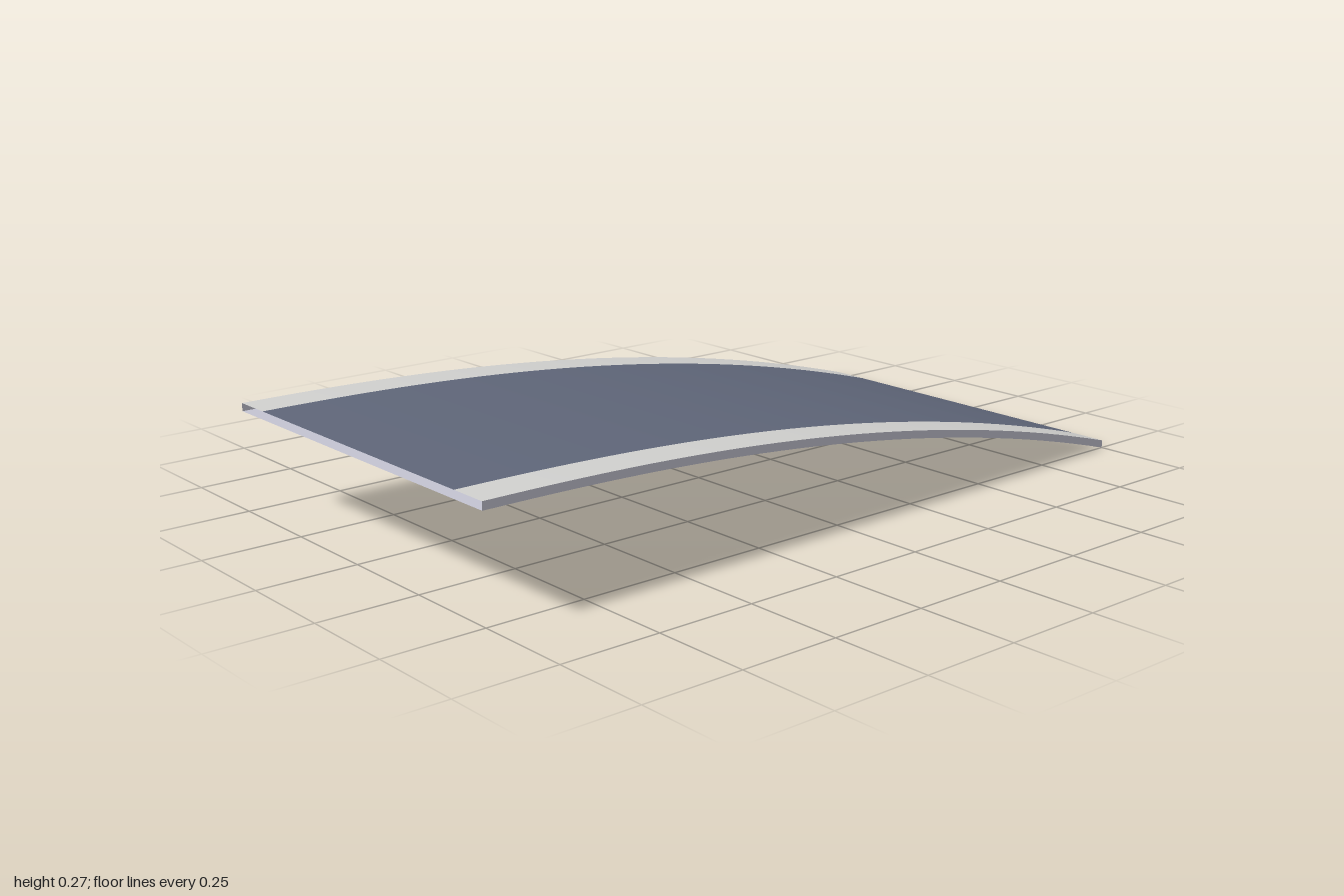
import * as THREE from 'three';

const SEGMENTS = 32;
const THICK = 0.02;

// Height of the underside: level at the front, dropping away to the back
const rise = z => 0.25 * (1 - Math.pow((1 - z) / 2, 2.3));

// Sheet swept along z between two cross-section points [x, y above underside]
function sheet(name, a, b, material) {
  const geo = new THREE.PlaneGeometry(1, 2, 1, SEGMENTS).rotateX(-Math.PI / 2);
  const pos = geo.attributes.position;
  for (let i = 0; i < pos.count; i++) {
    const t = pos.getX(i) + 0.5;
    const z = Math.min(1, Math.max(-1, pos.getZ(i)));
    const x = THREE.MathUtils.lerp(a[0], b[0], t);
    const y = THREE.MathUtils.lerp(a[1], b[1], t) + rise(z);
    pos.setXYZ(i, x, y, z);
  }
  geo.computeVertexNormals();
  const mesh = new THREE.Mesh(geo, material);
  mesh.name = name;
  return mesh;
}

export function createModel() {
  const paint = (name, color) => {
    const m = new THREE.MeshStandardMaterial({ color, side: THREE.DoubleSide });
    m.name = name;
    return m;
  };
  const slate = paint('slate blue', 0x60677a);
  const pale = paint('pale grey', 0xd2d2d0);
  const lavender = paint('lavender grey', 0xc4c4d2);

  const group = new THREE.Group();
  group.name = 'curvedRamp';

  // Closed cross-section, clockwise from the front; both ends stay open
  const T = THICK;
  group.add(
    sheet('rightBorder', [-0.5, T], [-0.4, T], pale),
    sheet('deck', [-0.4, T], [0.4, T], slate),
    sheet('leftBorder', [0.4, T], [0.5, T], pale),
    sheet('leftWall', [0.5, T], [0.5, 0], lavender),
    sheet('underside', [0.5, 0], [-0.5, 0], lavender),
    sheet('rightWall', [-0.5, 0], [-0.5, T], lavender)
  );
  return group;
}
